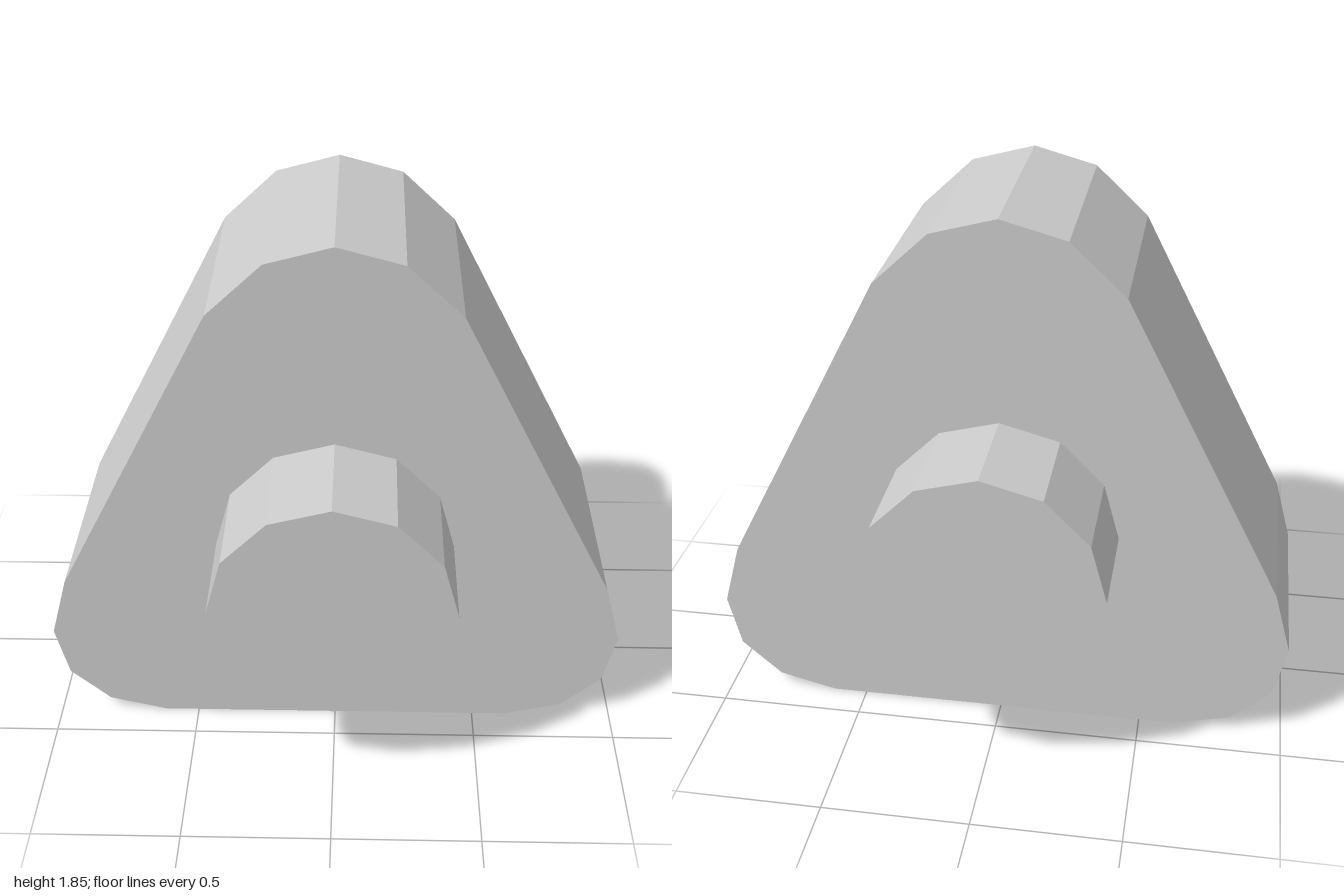
import * as THREE from 'three';

export function createModel() {
  const group = new THREE.Group();
  const material = new THREE.MeshStandardMaterial({ color: 0xcccccc, flatShading: true });

  // Rounded triangular body: right half of the outline, mirrored in x
  const half = [
    [0.62, 0], [0.82, 0.05], [0.957, 0.174], [1, 0.357],
    [0.94, 0.577], [0.405, 1.618], [0.22, 1.793],
  ];
  const outline = [
    ...half, [0, 1.853],
    ...half.map(([x, y]) => [-x, y]).reverse(),
  ].map(([x, y]) => new THREE.Vector2(x, y));
  const depth = 0.765;
  const bodyGeometry = new THREE.ExtrudeGeometry(new THREE.Shape(outline), { depth, bevelEnabled: false });
  bodyGeometry.translate(0, 0, -depth / 2);
  const body = new THREE.Mesh(bodyGeometry, material);
  body.name = 'triangularBody';
  group.add(body);

  // Twelve-sided stub shafts on the front and back faces
  const stubLength = 0.382;
  for (const [name, side] of [['frontShaft', 1], ['backShaft', -1]]) {
    const shaft = new THREE.Mesh(new THREE.CylinderGeometry(0.404, 0.404, stubLength, 12), material);
    shaft.name = name;
    shaft.rotation.x = Math.PI / 2;
    shaft.position.set(0, 0.751, side * (depth + stubLength) / 2);
    group.add(shaft);
  }

  return group;
}
